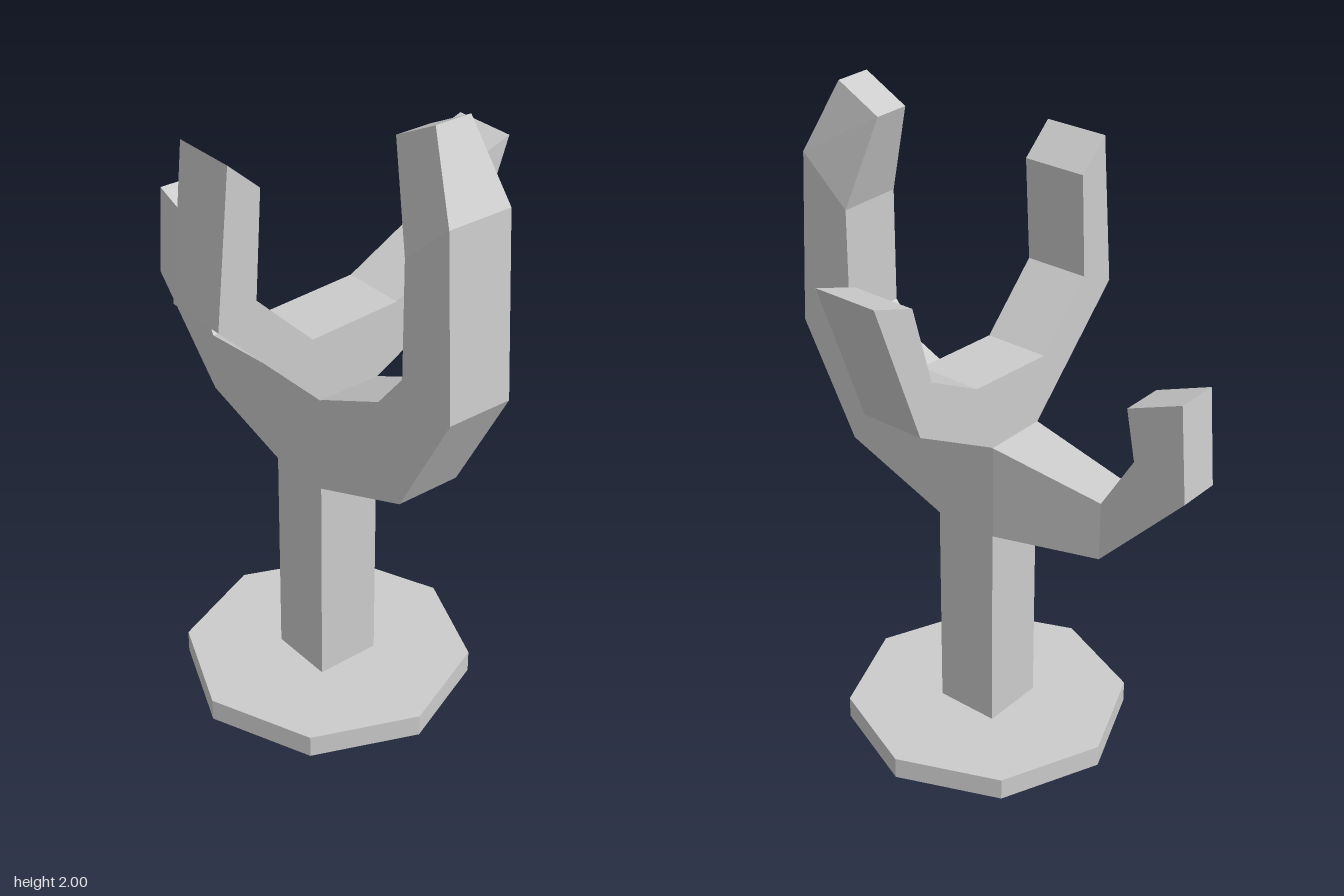
import * as THREE from 'three';

const CX = -0.07, CZ = 0.055, HALF = 0.1025;
const material = new THREE.MeshStandardMaterial({ color: 0xcccccc, flatShading: true });

// Square-sectioned limb along x. Section: [bottom x, bottom y, top x, top y, half width]
function limbGeometry(sections) {
  const rings = sections.map(([bx, by, tx, ty, w = HALF]) => [
    [bx, by, w], [bx, by, -w], [tx, ty, -w], [tx, ty, w],
  ]);
  const positions = [];
  const quad = (a, b, c, d) => positions.push(...a, ...b, ...c, ...a, ...c, ...d);
  for (let i = 0; i < rings.length - 1; i++) {
    for (let k = 0; k < 4; k++) {
      const n = (k + 1) % 4;
      quad(rings[i][k], rings[i][n], rings[i + 1][n], rings[i + 1][k]);
    }
  }
  const s = rings[0], e = rings[rings.length - 1];
  quad(s[0], s[3], s[2], s[1]);
  quad(e[0], e[1], e[2], e[3]);
  const geometry = new THREE.BufferGeometry();
  geometry.setAttribute('position', new THREE.Float32BufferAttribute(positions, 3));
  geometry.computeVertexNormals();
  return geometry;
}

export function createModel() {
  const group = new THREE.Group();
  const add = (name, geometry, x, y, z) => {
    const mesh = new THREE.Mesh(geometry, material);
    mesh.name = name;
    mesh.position.set(x, y, z);
    group.add(mesh);
    return mesh;
  };

  // Octagonal foot with a square socket underneath
  const octagon = [];
  for (let i = 0; i < 8; i++) {
    const a = (i * Math.PI) / 4;
    octagon.push(new THREE.Vector2(0.44 * Math.cos(a), 0.44 * Math.sin(a)));
  }
  const foot = new THREE.Shape(octagon);
  foot.holes.push(new THREE.Path([[-1, -1], [-1, 1], [1, 1], [1, -1]]
    .map(([x, y]) => new THREE.Vector2(x * HALF, y * HALF))));
  const footGeometry = new THREE.ExtrudeGeometry(foot, { depth: 0.07, bevelEnabled: false });
  footGeometry.rotateX(-Math.PI / 2);
  add('base', footGeometry, CX, 0, CZ);

  // Square trunk
  add('trunk', new THREE.BoxGeometry(HALF * 2, 0.7, HALF * 2), CX, 0.4, CZ);

  // Upper pair of branches, right tip to left tip
  add('sideBranches', limbGeometry([
    [-0.465, 1.85, -0.365, 1.76],
    [-0.51, 1.385, -0.385, 1.44],
    [-0.175, 1.05, -0.2, 1.255],
    [0.03, 1.05, 0.1, 1.27],
    [0.34, 1.22, 0.29, 1.37],
    [0.505, 1.665, 0.36, 1.615],
  ]), 0, 0, CZ);

  // Lower pair of branches, back tip to front tip, turned to run along z
  add('frontBackBranches', limbGeometry([
    [-0.66, 1.39, -0.485, 1.32, 0.0675],
    [-0.685, 1.095, -0.515, 1.165, 0.0675],
    [-0.41, 0.805, -0.41, 0.99, 0.0675],
    [-0.05, 0.75, -0.05, 1.05],
    [0.155, 0.75, 0.155, 1.05],
    [0.5, 0.885, 0.405, 1.165],
    [0.69, 1.23, 0.5, 1.28],
    [0.66, 1.775, 0.5, 1.635],
    [0.55, 2.0, 0.405, 1.925, 0.0575],
  ]), CX, 0, 0).rotation.y = -Math.PI / 2;

  return group;
}
